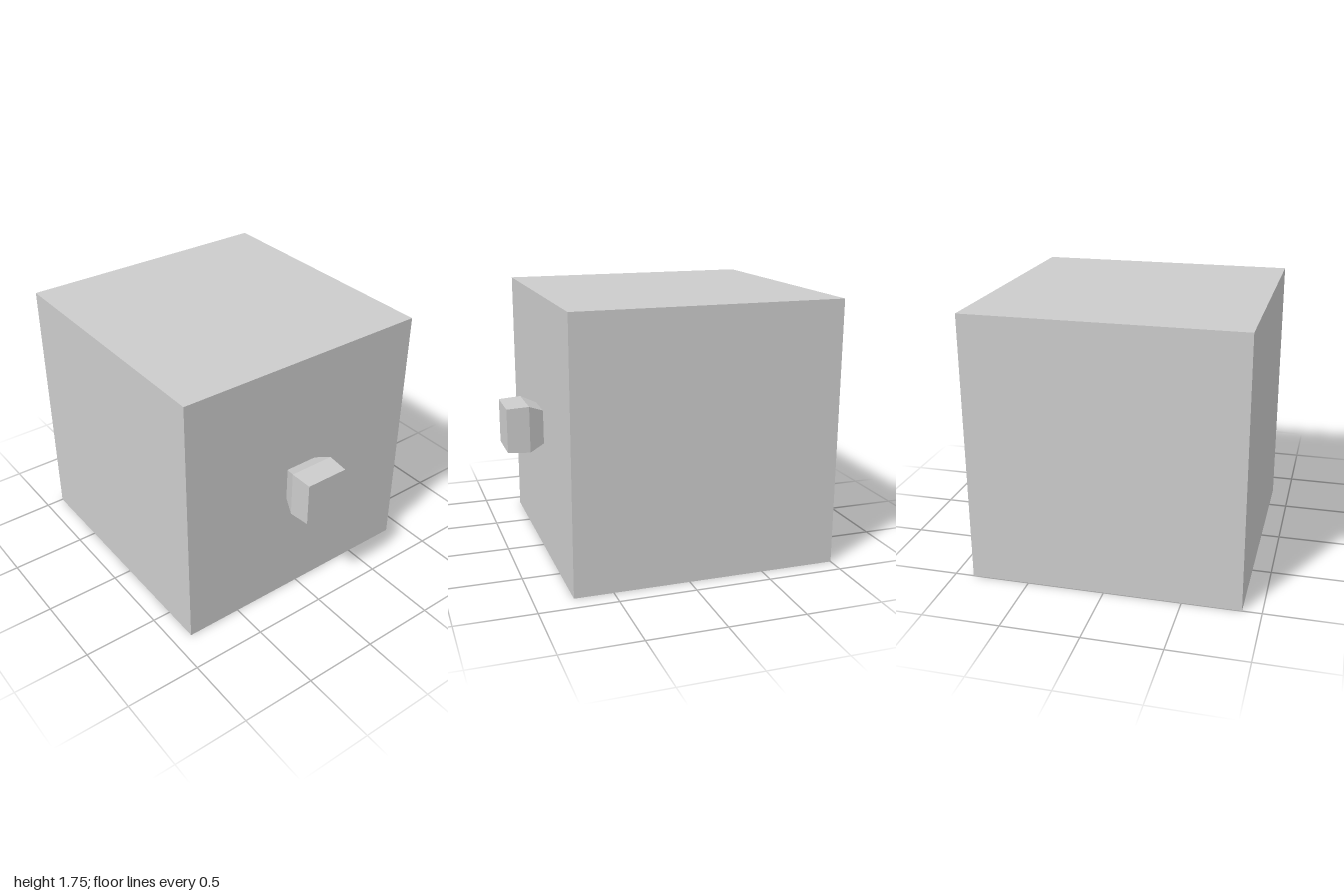
import * as THREE from 'three';

const SIZE = 1.754; // cabinet edge length
const FRONT = SIZE - 1; // z of the cabinet's front face

// Square sections of the knob, back to front: [z, half width]
const KNOB = [[FRONT, 0.113], [0.853, 0.155], [1, 0.147]];

// A box with one cut in its depth, each section scaled and placed by the list
function squareLoft(sections) {
  const steps = sections.length - 1;
  const box = new THREE.BoxGeometry(2, 2, 2, 1, 1, steps);
  const pos = box.attributes.position;
  for (let i = 0; i < pos.count; i++) {
    const [z, half] = sections[Math.round((pos.getZ(i) + 1) / 2 * steps)];
    pos.setXYZ(i, pos.getX(i) * half, pos.getY(i) * half, z);
  }
  const geometry = box.toNonIndexed();
  geometry.computeVertexNormals();
  return geometry;
}

export function createModel() {
  const group = new THREE.Group();
  group.name = 'cabinet';
  const material = new THREE.MeshStandardMaterial({ color: 0xcccccc, flatShading: true });

  // Plain cube standing on the ground
  const body = new THREE.Mesh(new THREE.BoxGeometry(SIZE, SIZE, SIZE), material);
  body.name = 'body';
  body.position.set(0, SIZE / 2, FRONT - SIZE / 2);
  group.add(body);

  // Flared square knob in the middle of the front
  const knob = new THREE.Mesh(squareLoft(KNOB), material);
  knob.name = 'knob';
  knob.position.y = 0.88;
  group.add(knob);

  return group;
}
